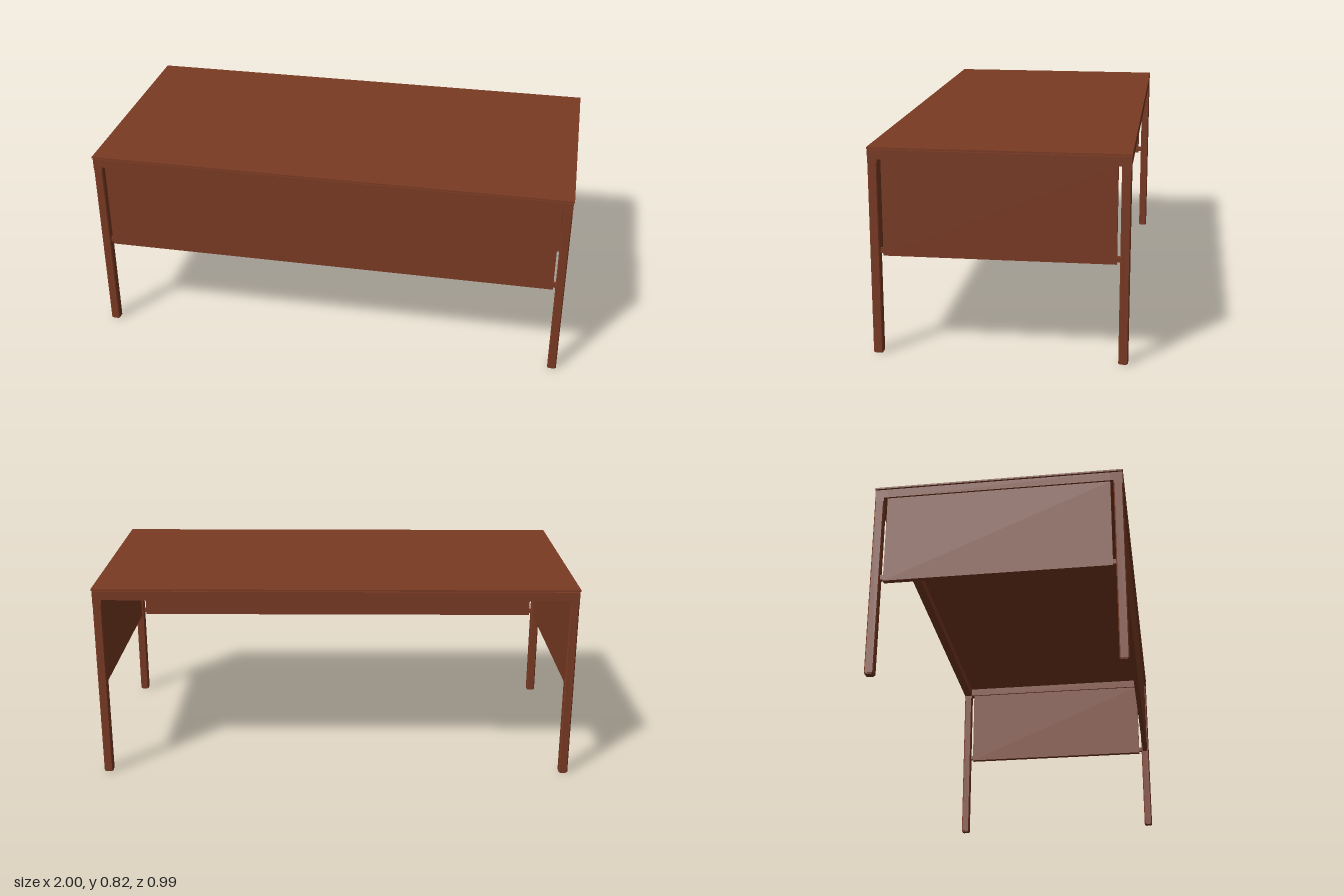
import * as THREE from 'three';

export function createModel() {
  const desk = new THREE.Group();
  desk.name = 'desk';
  const wood = new THREE.MeshStandardMaterial({ color: 0x7a3a23 });
  wood.name = 'reddish brown';

  const add = (name, geometry, x, y, z) => {
    const mesh = new THREE.Mesh(geometry, wood);
    mesh.name = name;
    mesh.position.set(x, y, z);
    desk.add(mesh);
    return mesh;
  };
  // Box given by its centre in x and z, and its bottom and top
  const box = (name, w, d, y0, y1, x, z) =>
    add(name, new THREE.BoxGeometry(w, y1 - y0, d), x, (y0 + y1) / 2, z);

  // Square post with slightly chamfered edges
  const post = (name, w, c, y0, y1, x, z) => {
    const h = w / 2, k = h - c;
    const s = new THREE.Shape([
      [h, -k], [h, k], [k, h], [-k, h], [-h, k], [-h, -k], [-k, -h], [k, -h],
    ].map(([a, b]) => new THREE.Vector2(a, b)));
    const g = new THREE.ExtrudeGeometry(s, { depth: y1 - y0, bevelEnabled: false });
    g.rotateX(-Math.PI / 2);
    add(name, g, x, y0, z);
  };

  const W = 0.037;                // frame tube width
  const LX = 0.978, LZ = 0.477;   // leg centres
  const PX = 0.95, PZ = 0.446;    // half lengths of rails and panels
  const railY = [0.775, 0.812], panelY = [0.397, 0.775];
  const T = 0.022;                // panel thickness

  // Table top
  box('tableTop', 2, 0.994, 0.815, 0.822, 0, 0);

  // Legs, corner joints and panel pins
  for (const sx of [-1, 1]) {
    for (const sz of [-1, 1]) {
      const x = sx * LX, z = sz * LZ;
      post('foot', 0.03, 0.004, 0, 0.005, x, z);
      post('leg', W, 0.004, 0.004, 0.76, x, z);
      box('cornerJoint', W, W, 0.76, 0.812, x, z);
      box('topSpacer', 0.02, 0.02, 0.812, 0.815, x, z);
      const ex = LX - W / 2, ez = LZ - W / 2;
      box('jointArm', ex - PX, W, ...railY, sx * (ex + PX) / 2, z);
      box('jointArm', W, ez - PZ, ...railY, x, sz * (ez + PZ) / 2);
      box('panelPin', 0.015, ez - PZ + 0.004, 0.405, 0.425, x, sz * (ez + PZ) / 2);
      if (sz > 0) box('panelPin', ex - PX + 0.004, 0.015, 0.405, 0.425, sx * (ex + PX) / 2, z);
    }
  }

  // Rails under the top on all four sides
  for (const s of [-1, 1]) {
    box('longRail', 2 * PX, W, ...railY, 0, s * LZ);
    box('sideRail', W, 2 * PZ, ...railY, s * LX, 0);
    box('sidePanel', T, 2 * PZ, ...panelY, s * LX, 0);
  }

  // Modesty panel at the front; the back stays open
  box('frontPanel', 2 * PX, T, ...panelY, 0, LZ);

  return desk;
}
